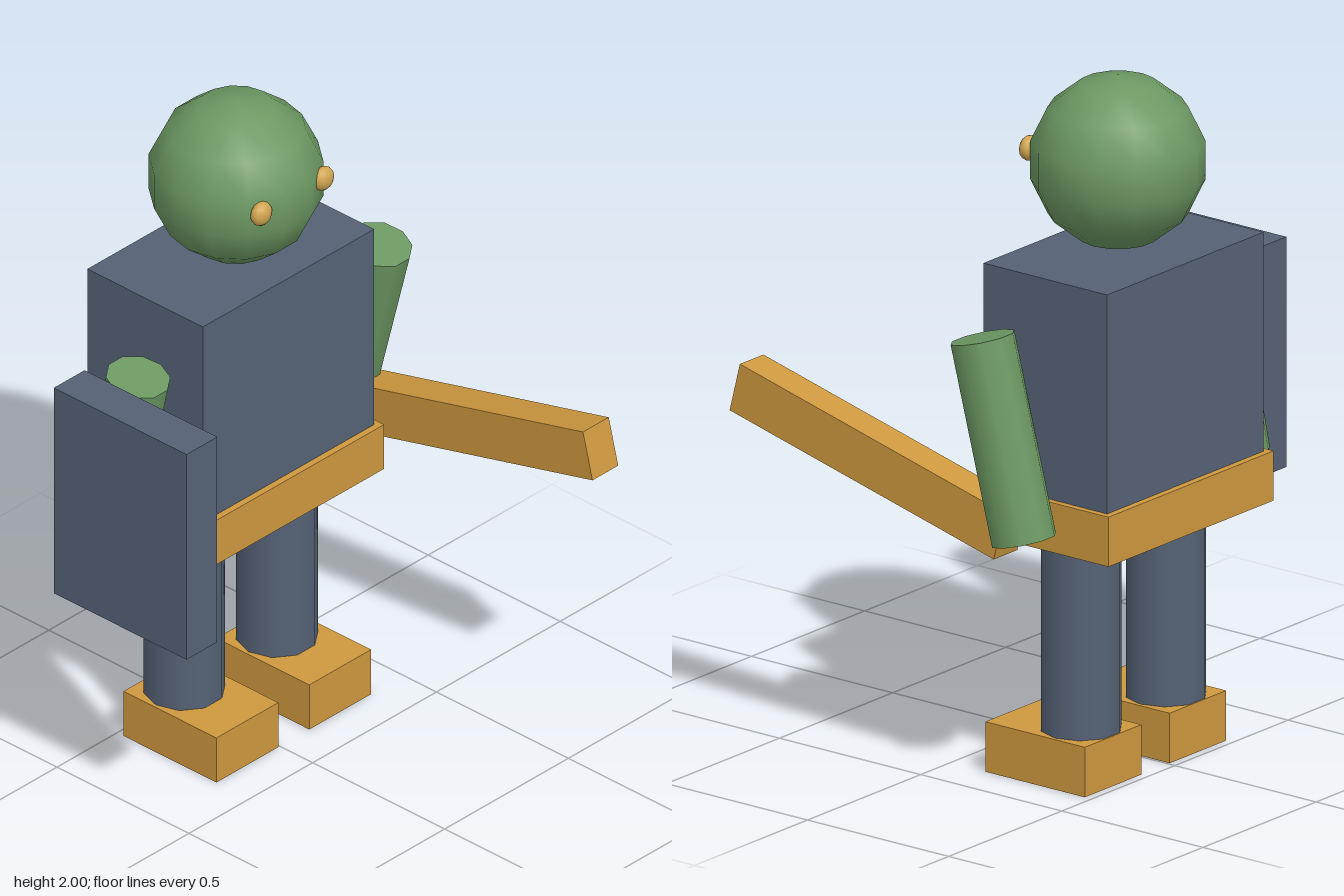
import * as THREE from 'three';

export function createModel() {
  const model = new THREE.Group();
  model.name = 'blockyGuard';

  const material = (name, color) => {
    const m = new THREE.MeshStandardMaterial({ color });
    m.name = name;
    return m;
  };
  const green = material('greenSkin', 0x6c9862);
  const slate = material('slateArmour', 0x556275);
  const gold = material('goldTrim', 0xce983f);
  const paleGold = material('paleGoldEyes', 0xd0a550);

  const add = (name, geometry, mat, x, y, z, tilt = 0) => {
    const mesh = new THREE.Mesh(geometry, mat);
    mesh.name = name;
    mesh.position.set(x, y, z);
    mesh.rotation.x = THREE.MathUtils.degToRad(tilt);
    model.add(mesh);
    return mesh;
  };
  const box = (w, h, d) => new THREE.BoxGeometry(w, h, d);
  // Ten-sided limb with corners pointing to the sides
  const limb = (r, h) => new THREE.CylinderGeometry(r, r, h, 10).rotateY(Math.PI / 2);

  const midX = 0.056;
  const midZ = -0.363;

  // Torso and belt
  add('torso', box(0.692, 0.64, 0.438), slate, midX, 1.178, midZ);
  add('belt', box(0.73, 0.145, 0.478), gold, midX, 0.786, midZ);

  // Head and eyes
  add('head', new THREE.SphereGeometry(0.249, 14, 7), green, midX, 1.75, -0.343);
  for (const side of [-1, 1]) {
    const eye = add(side < 0 ? 'rightEye' : 'leftEye', new THREE.SphereGeometry(0.036, 12, 8),
      paleGold, midX + side * 0.125, 1.773, -0.13);
    eye.scale.z = 0.7;
  }

  // Legs and feet
  for (const side of [-1, 1]) {
    const prefix = side < 0 ? 'right' : 'left';
    const x = midX + side * 0.1875;
    add(prefix + 'Leg', limb(0.115, 0.58), slate, x, 0.43, midZ);
    add(prefix + 'Foot', box(0.25, 0.146, 0.352), gold, x, 0.073, -0.3);
  }

  // Arms, with the lower ends swung back
  add('rightArm', limb(0.0915, 0.58), green, -0.423, 1.059, -0.325, 12);
  add('leftArm', limb(0.0925, 0.58), green, 0.538, 1.059, -0.323, 14.7);

  // Shield on the right arm, blade held in the left hand
  add('shield', box(0.124, 0.672, 0.503), slate, -0.571, 1.016, -0.136);
  add('blade', box(0.104, 0.147, 0.965), gold, 0.54, 0.913, 0.117, -14.2);

  return model;
}
